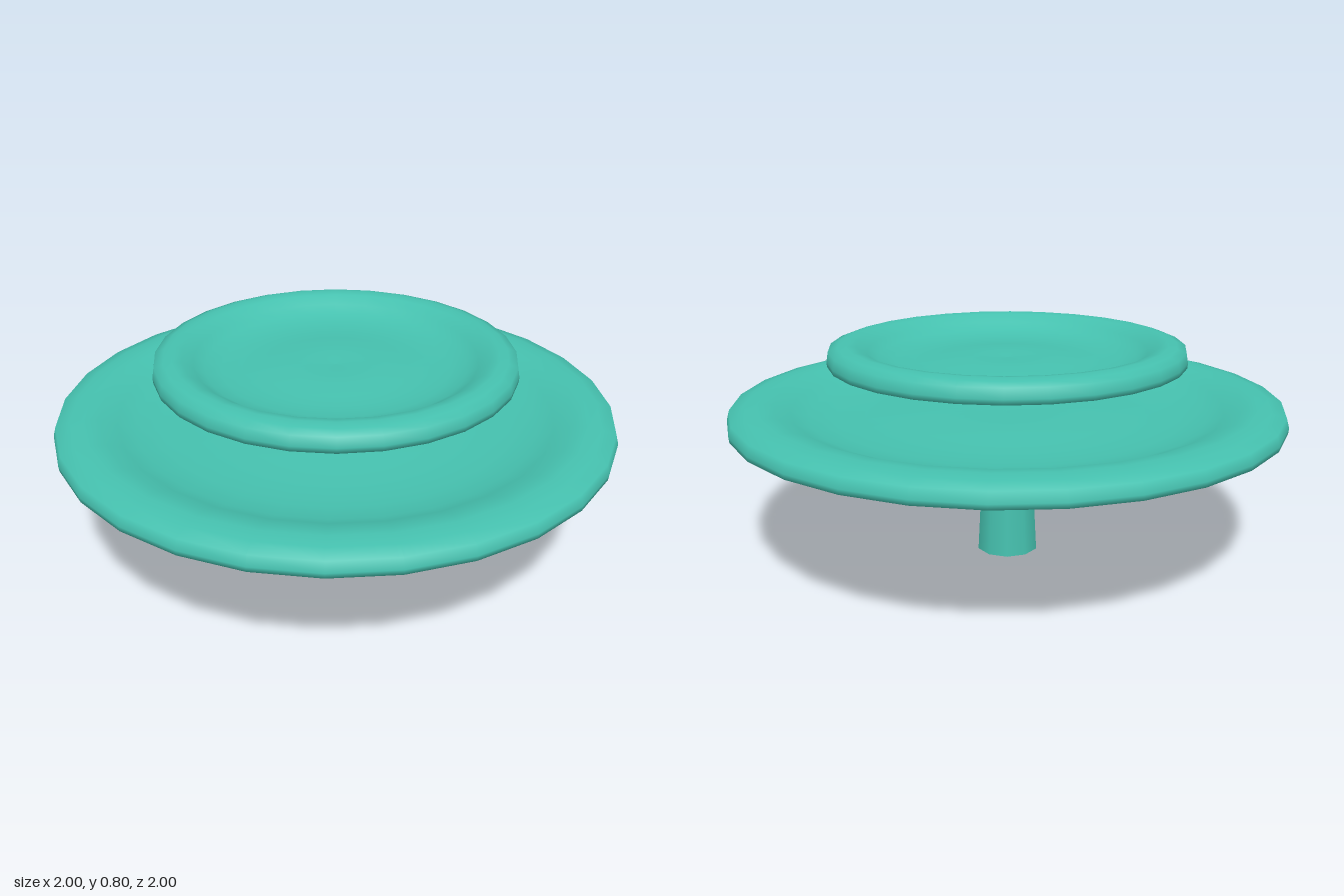
import * as THREE from 'three';

const material = new THREE.MeshStandardMaterial({ color: 0x45c0ae });

// Dish cross-section for radius 1: underside, rim, then the hollow top
const profile = [
  [0, 0], [0.3, 0], [0.57, 0], [0.66, 0.012], [0.77, 0.042], [0.998, 0.042],
  [1, 0.06], [0.99, 0.095], [0.94, 0.107], [0.89, 0.113], [0.84, 0.108],
  [0.78, 0.082], [0.72, 0.058], [0.63, 0.044], [0.52, 0.04],
  [0.4, 0.043], [0.28, 0.052], [0.14, 0.052], [0, 0.047],
];

function makeDish(name, radius, y, turn) {
  const points = profile.map(([r, h]) => new THREE.Vector2(r * radius, h));
  const dish = new THREE.Mesh(new THREE.LatheGeometry(points, 28), material);
  dish.name = name;
  dish.position.y = y;
  dish.rotation.y = turn;
  return dish;
}

export function createModel() {
  const group = new THREE.Group();
  group.name = 'tieredStand';

  // Tapered ten-sided stem
  const stem = new THREE.Mesh(new THREE.CylinderGeometry(0.088, 0.115, 0.5, 10), material);
  stem.name = 'stem';
  stem.position.y = 0.25;
  group.add(stem);

  // Large lower dish and smaller dish floating above it
  group.add(makeDish('lowerDish', 1, 0.487, 0));
  group.add(makeDish('upperDish', 0.645, 0.687, 0.035));
  return group;
}
